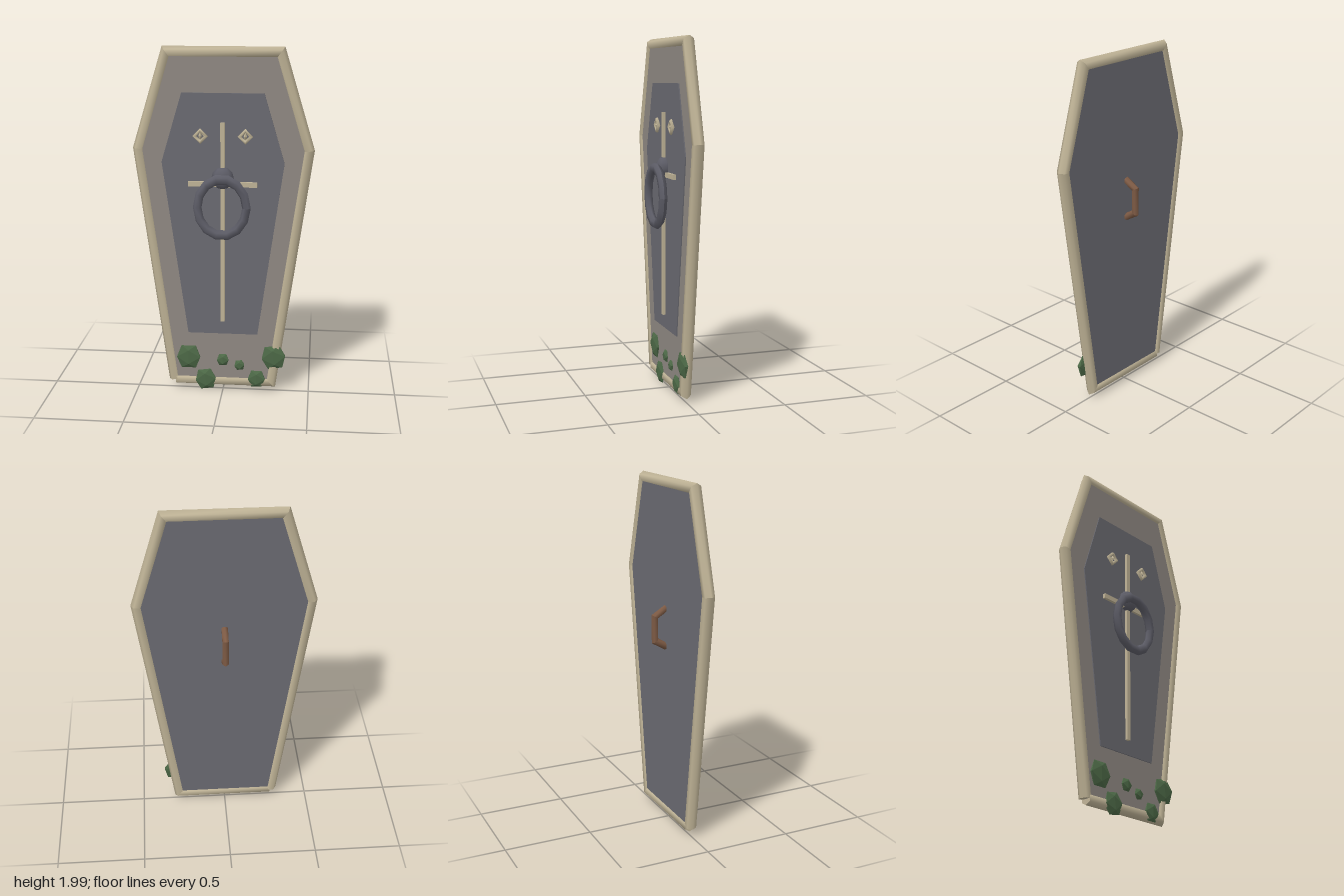
import * as THREE from 'three';

const mat = (name, color, extra = {}) =>
  Object.assign(new THREE.MeshStandardMaterial({ color, ...extra }), { name });

// Sweep a six-sided section along a flat path with mitred corners and capped ends
function sweep(path, r) {
  const pts = path.map(([x, y]) => new THREE.Vector2(x, y));
  const last = pts.length - 1, sides = 6, pos = [], idx = [];
  const dirs = pts.slice(1).map((p, i) => p.clone().sub(pts[i]).normalize());
  const ring = (i) => {
    const a = dirs[Math.max(i - 1, 0)], b = dirs[Math.min(i, last - 1)];
    const t = a.clone().add(b).normalize(), mitre = r / t.dot(a);
    const first = pos.length / 3;
    for (let j = 0; j < sides; j++) {
      const ang = (j / sides) * Math.PI * 2, c = Math.cos(ang) * mitre;
      pos.push(pts[i].x - t.y * c, pts[i].y + t.x * c, Math.sin(ang) * r);
    }
    return first;
  };
  for (let i = 0; i < last; i++) {
    const a = ring(i), b = ring(i + 1);
    for (let j = 0; j < sides; j++) {
      const k = (j + 1) % sides;
      idx.push(a + j, a + k, b + j, a + k, b + k, b + j);
    }
  }
  const s = ring(0), e = ring(last);
  for (let j = 1; j < sides - 1; j++) idx.push(s, s + j + 1, s + j, e, e + j, e + j + 1);
  const g = new THREE.BufferGeometry();
  g.setAttribute('position', new THREE.Float32BufferAttribute(pos, 3));
  g.setIndex(idx);
  g.computeVertexNormals();
  return g;
}

// Coffin-shaped plate from half-outline points, between z0 and z1
function plate(half, z0, z1) {
  const outline = [...half, ...half.map(([x, y]) => [-x, y]).reverse()];
  const shape = new THREE.Shape(outline.map(([x, y]) => new THREE.Vector2(x, y)));
  const g = new THREE.ExtrudeGeometry(shape, { depth: z1 - z0, bevelEnabled: false });
  return g.translate(0, 0, z0);
}

export function createModel() {
  const group = new THREE.Group();
  const stone = mat('warm stone', 0x8f8882);
  const slate = mat('slate', 0x6a6a71);
  const bone = mat('bone trim', 0xbfb396);
  const iron = mat('iron', 0x5c5c66);
  const wood = mat('wood', 0x7d5a44);
  const moss = mat('moss', 0x4c6846, { flatShading: true });
  const add = (name, geo, material, x = 0, y = 0, z = 0, parent = group) => {
    const m = new THREE.Mesh(geo, material);
    m.name = name;
    m.position.set(x, y, z);
    parent.add(m);
    return m;
  };

  // Slab: slate back, stone front, raised slate panel
  const edge = [[0.277, 0.063], [0.472, 1.436], [0.311, 1.967]];
  add('backBoard', plate(edge, -0.022, 0.01), slate);
  add('frontBoard', plate(edge, 0.01, 0.02), stone);
  add('innerPanel', plate([[0.2, 0.36], [0.342, 1.365], [0.228, 1.75]], 0.02, 0.026), slate);

  // Rim, starting and ending at the lower right corner
  const rim = [[-0.284, 0.063], [-0.472, 1.436], [-0.311, 1.967],
    [0.311, 1.967], [0.472, 1.436], [0.277, 0.063], [-0.277, 0.063]];
  add('rim', sweep(rim, 0.033), bone);

  // Cross
  add('crossUpright', new THREE.BoxGeometry(0.024, 1.15, 0.018), bone, 0, 1.015, 0.033);
  add('crossArm', new THREE.BoxGeometry(0.385, 0.028, 0.018), bone, 0, 1.245, 0.033);

  // Diamond eyes with a slit pupil
  for (const side of [-1, 1]) {
    const eye = new THREE.Group();
    eye.name = side > 0 ? 'leftEye' : 'rightEye';
    eye.position.set(side * 0.125, 1.513, 0.03);
    group.add(eye);
    add('eyeRing', new THREE.TorusGeometry(0.032, 0.012, 6, 4), bone, 0, 0, 0, eye);
    add('pupil', new THREE.OctahedronGeometry(1), bone, 0, 0, 0, eye).scale.set(0.01, 0.026, 0.014);
  }

  // Knocker boss and hanging ring
  add('knockerBoss', new THREE.SphereGeometry(0.063, 8, 6), iron, 0, 1.28, 0.033).scale.z = 0.74;
  const ring = new THREE.TorusGeometry(0.137, 0.024, 6, 14).scale(1, 1.17, 1);
  ring.computeVertexNormals();
  add('knockerRing', ring, iron, 0, 1.123, 0.081);

  // Grip on the back
  const grip = [[0.015, 1.278], [0.085, 1.235], [0.085, 1.095], [0.015, 1.055]];
  add('backHandle', sweep(grip, 0.02), wood).rotation.y = Math.PI / 2;

  // Moss clumps: x, y, radius
  const clumps = [[-0.2, 0.208, 0.08], [-0.1, 0.072, 0.07], [0, 0.195, 0.04],
    [0.097, 0.165, 0.034], [0.197, 0.084, 0.058], [0.295, 0.222, 0.08]];
  clumps.forEach(([x, y, r], i) => {
    const geo = new THREE.IcosahedronGeometry(r, 0).rotateZ(i % 2 ? 0.15 : 0)
      .scale(1, 1, 0.019 / r);
    add('mossClump', geo, moss, x, y, r > 0.05 ? 0.022 : 0.02);
  });

  return group;
}
